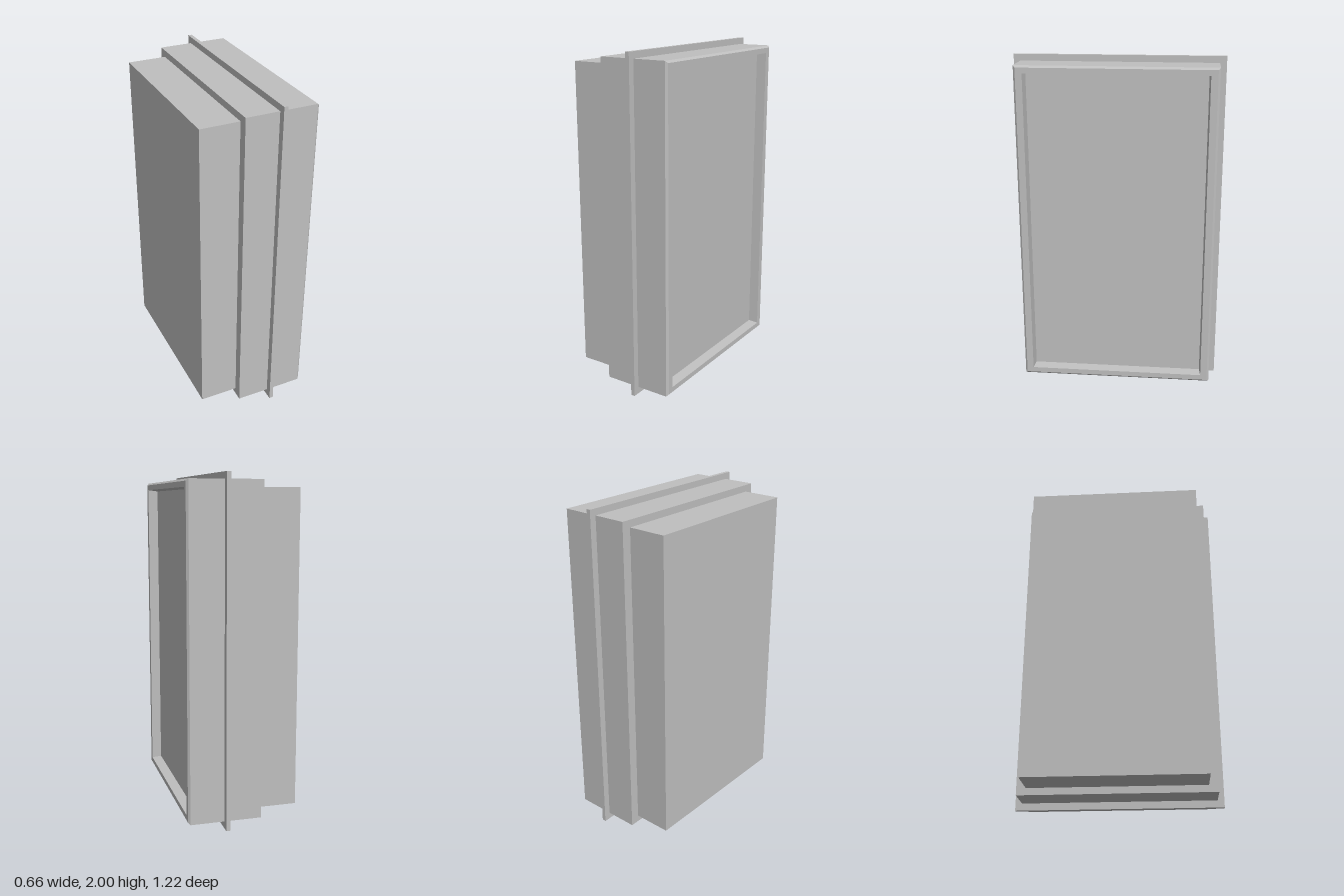
import * as THREE from 'three';

// Rectangular sections [x, halfHeight, halfDepth] joined along x, capped at both ends.
function loftRects(sections) {
  const pos = [];
  const ring = ([x, h, d]) => [[x, -h, -d], [x, h, -d], [x, h, d], [x, -h, d]];
  const quad = (a, b, c, d) => pos.push(...a, ...b, ...c, ...a, ...c, ...d);
  for (let i = 0; i < sections.length - 1; i++) {
    const a = ring(sections[i]), b = ring(sections[i + 1]);
    for (let k = 0; k < 4; k++) {
      const n = (k + 1) % 4;
      quad(a[k], a[n], b[n], b[k]);
    }
  }
  const first = ring(sections[0]);
  quad(first[3], first[2], first[1], first[0]);
  quad(...ring(sections[sections.length - 1]));
  const geo = new THREE.BufferGeometry();
  geo.setAttribute('position', new THREE.Float32BufferAttribute(pos, 3));
  geo.computeVertexNormals();
  return geo;
}

export function createModel() {
  const model = new THREE.Group();
  model.name = 'wallBox';
  const grey = new THREE.MeshStandardMaterial({ color: 0xbfbfbf });
  grey.name = 'plain grey';

  const add = (name, geometry, x = 0) => {
    const mesh = new THREE.Mesh(geometry, grey);
    mesh.name = name;
    mesh.position.set(x, 1.002, 0);
    model.add(mesh);
    return mesh;
  };

  // Smaller housing on the right-hand end
  add('rearHousing', new THREE.BoxGeometry(0.23, 1.838, 1.034), -0.215);

  // Main housing: chamfered rim, then slightly tapered walls down to the recessed panel
  add('mainHousing', loftRects([
    [-0.1, 0.96, 0.572],
    [0.319, 0.96, 0.572],
    [0.331, 0.948, 0.56],
    [0.331, 0.917, 0.521],
    [0.272, 0.909, 0.513],
  ]));

  // Thin mounting flange around the main housing
  add('mountingFlange', new THREE.BoxGeometry(0.024, 2, 1.222), 0.108).position.y = 1;

  return model;
}
